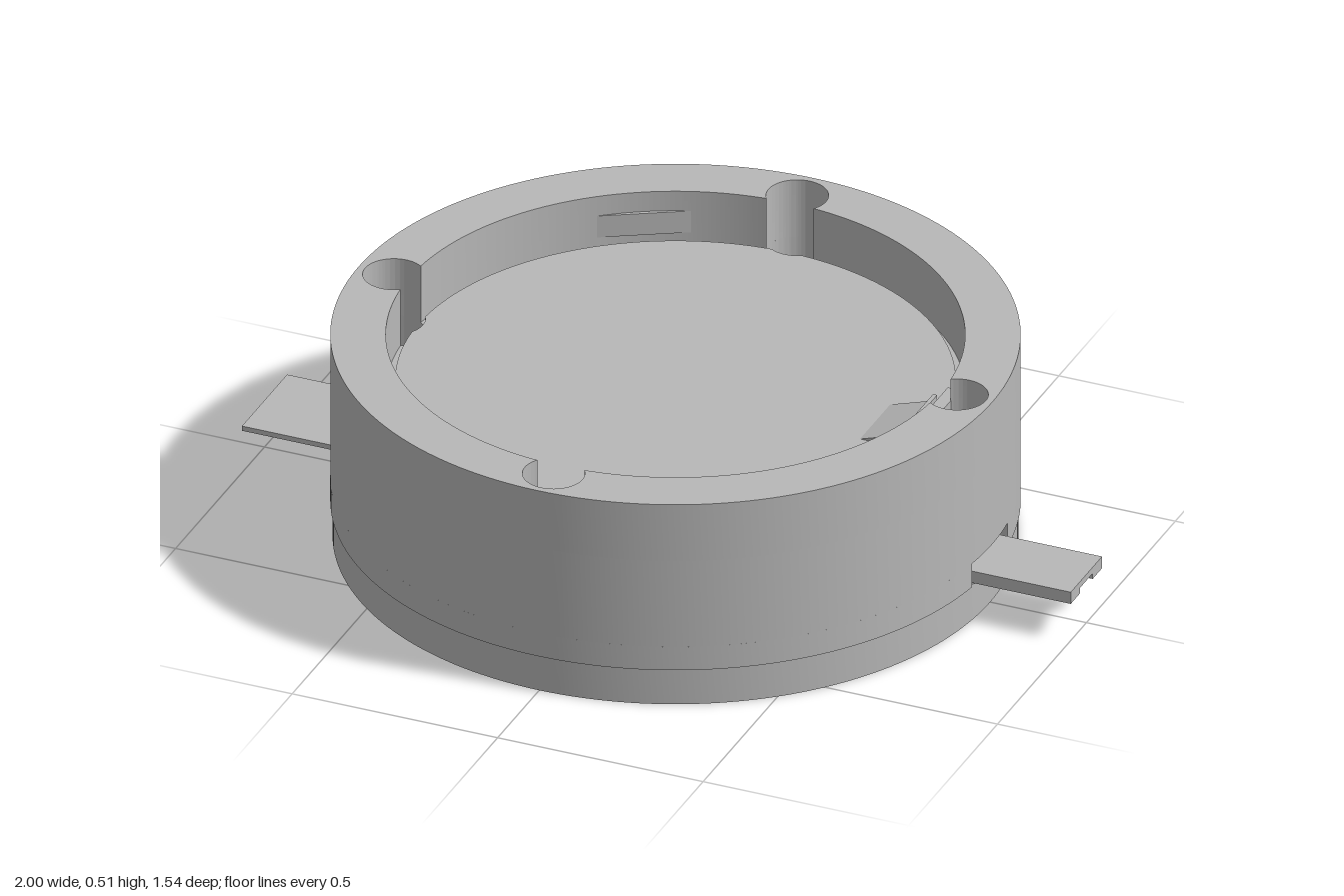
import * as THREE from 'three';
import { toCreasedNormals } from 'three/addons/utils/BufferGeometryUtils.js';

const HOLE_AT = 0.685, HOLE_R = 0.07, OUTER = 0.771;

export function createModel() {
  const group = new THREE.Group();
  const grey = new THREE.MeshStandardMaterial({ color: 0xb8b8b8 });

  const add = (name, geometry) => {
    const mesh = new THREE.Mesh(geometry, grey);
    mesh.name = name;
    group.add(mesh);
    return mesh;
  };

  // Extrudes a plan outline upwards from y0 to y1
  const layer = (name, shape, y0, y1, segments = 32) => {
    const g = new THREE.ExtrudeGeometry(shape, { depth: y1 - y0, bevelEnabled: false, curveSegments: segments });
    g.rotateX(-Math.PI / 2);
    g.translate(0, y0, 0);
    return add(name, toCreasedNormals(g, 0.5));
  };

  // Box given by its limits
  const block = (name, x0, x1, y0, y1, z0, z1) => {
    const g = new THREE.BoxGeometry(x1 - x0, y1 - y0, z1 - z0);
    g.translate((x0 + x1) / 2, (y0 + y1) / 2, (z0 + z1) / 2);
    return add(name, g);
  };

  const disc = (r) => new THREE.Shape().absarc(0, 0, r, 0, Math.PI * 2, false);
  const drill = (shape, quarters) => {
    for (const k of quarters) {
      const a = k * Math.PI / 2;
      shape.holes.push(new THREE.Path().absarc(HOLE_AT * Math.cos(a), HOLE_AT * Math.sin(a), HOLE_R, 0, Math.PI * 2, false));
    }
    return shape;
  };

  // Circle merged with the four screw holes (outward) or bitten by them (inward)
  const scalloped = (path, r, outward) => {
    const half = Math.acos((r * r + HOLE_AT ** 2 - HOLE_R ** 2) / (2 * r * HOLE_AT));
    const local = Math.atan2(r * Math.sin(half), r * Math.cos(half) - HOLE_AT);
    for (let k = 0; k < 4; k++) {
      const a = k * Math.PI / 2, b = a + Math.PI / 2;
      path.absarc(0, 0, r, a + half, b - half, false);
      path.absarc(HOLE_AT * Math.cos(b), HOLE_AT * Math.sin(b), HOLE_R, b - local, b + local, !outward);
    }
    path.closePath();
    return path;
  };

  // Round housing, stacked in layers
  layer('basePlate', drill(disc(0.766), [0, 1, 2, 3]), 0, 0.09, 96);

  const slotR = Math.asin(0.10 / OUTER), slotL = Math.asin(0.13 / OUTER);
  const slotted = new THREE.Shape();
  slotted.absarc(0, 0, OUTER, slotR, Math.PI - slotL, false);
  slotted.lineTo(-0.6, 0.13);
  slotted.lineTo(-0.6, -0.13);
  slotted.absarc(0, 0, OUTER, Math.PI + slotL, Math.PI * 2 - slotR, false);
  slotted.lineTo(0.6, -0.10);
  slotted.lineTo(0.6, 0.10);
  slotted.closePath();
  layer('slottedLayer', drill(slotted, [1, 3]), 0.09, 0.15, 64);

  layer('housingCore', drill(disc(OUTER), [0, 1, 2, 3]), 0.15, 0.37, 96);

  const rim = disc(OUTER);
  rim.holes.push(scalloped(new THREE.Path(), 0.647, true));
  layer('housingRim', rim, 0.37, 0.515, 96);

  // Raised floor inside the rim
  layer('innerDisc', scalloped(new THREE.Shape(), 0.626, false), 0.37, 0.40, 32);

  // Retaining lugs: circle segments on the rim wall
  for (const side of [1, -1]) {
    const a0 = 1.9, a1 = 2.28;
    const lug = new THREE.Shape().absarc(0, 0, 0.65, side > 0 ? a0 : -a1, side > 0 ? a1 : -a0, false);
    lug.closePath();
    layer('retainingLug', lug, 0.41, 0.465, 12);
  }
  block('contactLug', 0.615, 0.645, 0.405, 0.46, -0.11, 0.11);

  // Sloping contact finger with upright end
  const wedge = new THREE.Shape([
    new THREE.Vector2(0.47, 0.395), new THREE.Vector2(0.595, 0.395), new THREE.Vector2(0.595, 0.435),
  ]);
  const finger = new THREE.ExtrudeGeometry(wedge, { depth: 0.17, bevelEnabled: false });
  finger.translate(0, 0, -0.085);
  add('contactFinger', finger);
  block('contactUpright', 0.59, 0.60, 0.395, 0.45, -0.085, 0.085);

  // Terminal tabs with folded lips beneath
  block('rightTab', 0.6, 1, 0.108, 0.124, -0.088, 0.088);
  block('leftTab', -1, -0.6, 0.108, 0.12, -0.127, 0.127);
  for (const s of [1, -1]) {
    const lip = (name, x0, x1, a, b) =>
      block(name, x0, x1, 0.094, 0.108, Math.min(a * s, b * s), Math.max(a * s, b * s));
    lip('rightTabLip', 0.6, 1, 0.035, 0.088);
    lip('leftTabLip', -0.975, -0.6, 0.035, 0.088);
  }
  return group;
}
